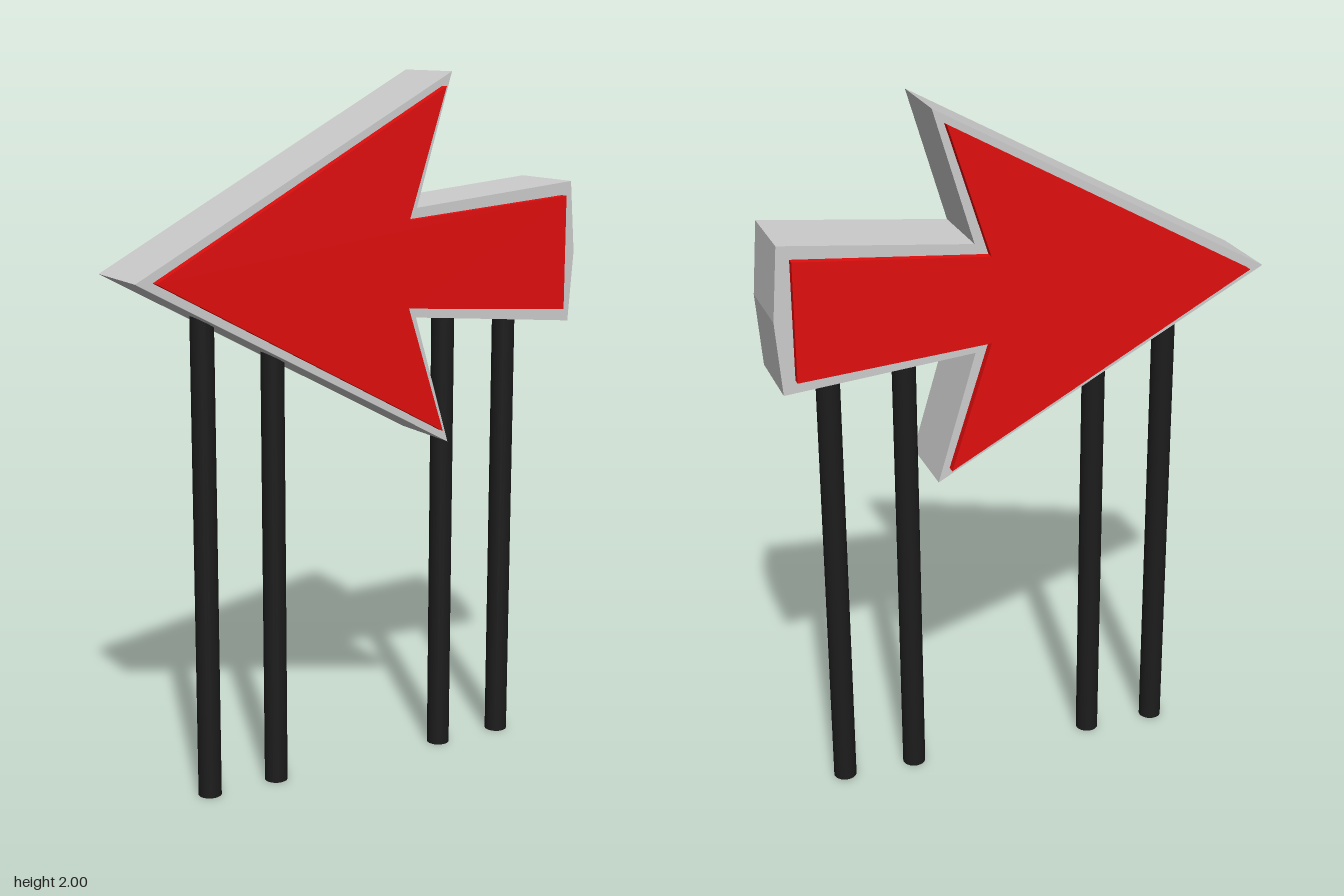
import * as THREE from 'three';

const AXIS_Y = 1.482; // height of the arrow's line of symmetry

// Closed outline from its upper half: [x, height above the axis], tip to tail
function arrowShape(upper) {
  const lower = upper.filter(([, h]) => h > 0).reverse().map(([x, h]) => [x, -h]);
  return new THREE.Shape([...upper, ...lower].map(([x, h]) => new THREE.Vector2(x, AXIS_Y + h)));
}

// Slab of the given outline, centred on z = 0
function slab(name, upper, depth, material) {
  const geometry = new THREE.ExtrudeGeometry(arrowShape(upper), { depth, bevelEnabled: false });
  geometry.translate(0, 0, -depth / 2);
  const mesh = new THREE.Mesh(geometry, material);
  mesh.name = name;
  return mesh;
}

export function createModel() {
  const model = new THREE.Group();
  model.name = 'arrowSign';

  const grey = new THREE.MeshStandardMaterial({ color: 0xcccccc });
  const red = new THREE.MeshStandardMaterial({ color: 0xe00d0d });
  const black = new THREE.MeshStandardMaterial({ color: 0x1c1c1c });

  // Thick arrow body with a slightly pointed tail end
  const bodyOutline = [[-0.694, 0], [0.26, 0.518], [0.15, 0.152], [0.676, 0.203], [0.692, 0]];
  // The tail point lies on the axis, so only the off-axis points are mirrored
  model.add(slab('arrowBody', bodyOutline, 0.236, grey));

  // Raised red panels on the front and the back
  const panelOutline = [[-0.645, 0], [0.228, 0.479], [0.112, 0.121], [0.643, 0.164]];
  const panelDepth = 0.035;
  for (const side of [1, -1]) {
    const panel = slab(side > 0 ? 'frontPanel' : 'backPanel', panelOutline, panelDepth, red);
    panel.position.z = side * (0.142 - panelDepth / 2);
    model.add(panel);
  }

  // Round posts, their tops sunk into the body
  const posts = [[-0.452, 1.42], [-0.24, 1.42], [0.317, 1.42], [0.53, 1.42]];
  posts.forEach(([x, height], i) => {
    const post = new THREE.Mesh(new THREE.CylinderGeometry(0.033, 0.033, height, 20), black);
    post.name = `post${i + 1}`;
    post.position.set(x, height / 2, 0);
    model.add(post);
  });

  return model;
}
